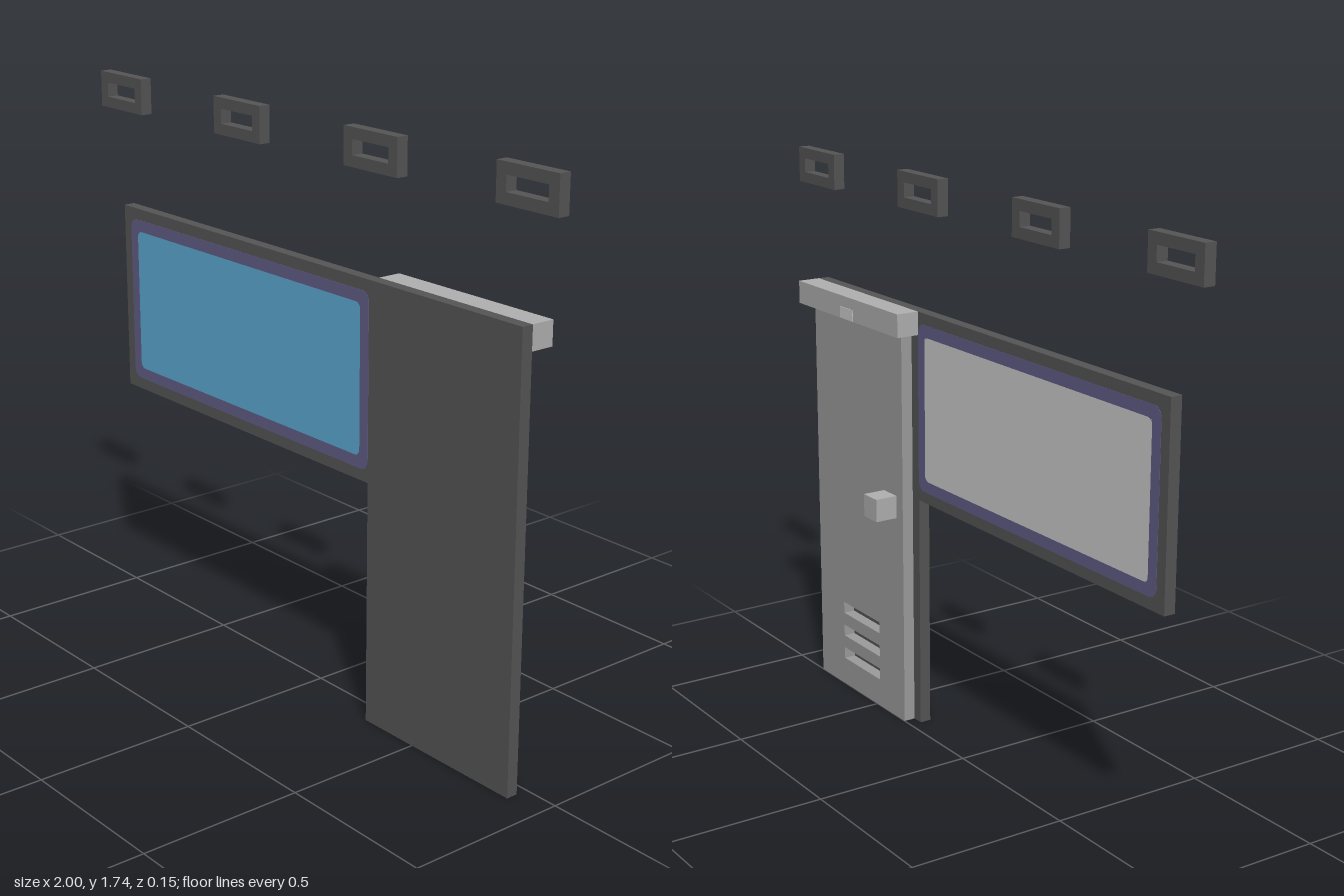
import * as THREE from 'three';

const mat = (name, color, side = THREE.FrontSide) => {
  const m = new THREE.MeshStandardMaterial({ color, side });
  m.name = name;
  return m;
};

// Outline of a rectangle, with optional rounded corners
function rect(Target, x0, y0, x1, y1, r = 0) {
  const p = new Target();
  if (!r) {
    p.moveTo(x0, y0).lineTo(x1, y0).lineTo(x1, y1).lineTo(x0, y1).closePath();
    return p;
  }
  p.moveTo(x0 + r, y0).lineTo(x1 - r, y0);
  p.absarc(x1 - r, y0 + r, r, -Math.PI / 2, 0);
  p.lineTo(x1, y1 - r).absarc(x1 - r, y1 - r, r, 0, Math.PI / 2);
  p.lineTo(x0 + r, y1).absarc(x0 + r, y1 - r, r, Math.PI / 2, Math.PI);
  p.lineTo(x0, y0 + r).absarc(x0 + r, y0 + r, r, Math.PI, Math.PI * 1.5);
  return p;
}

export function createModel() {
  const dark = mat('dark grey', 0x555555);
  const doorGrey = mat('door grey', 0x9c9c9c);
  const trimGrey = mat('trim grey', 0xb0b0b0);
  const lightGrey = mat('light grey', 0xcccccc);
  const purple = mat('purple seal', 0x625e88);
  const blue = mat('blue glass', 0x5caad4);

  const group = new THREE.Group();
  const add = (name, geometry, material) => {
    const mesh = new THREE.Mesh(geometry, material);
    mesh.name = name;
    group.add(mesh);
    return mesh;
  };
  const extrude = (name, shape, z0, z1, material) => {
    const g = new THREE.ExtrudeGeometry(shape, { depth: z1 - z0, bevelEnabled: false, curveSegments: 5 });
    return add(name, g.translate(0, 0, z0), material);
  };
  const box = (name, x0, y0, z0, x1, y1, z1, material) => {
    const g = new THREE.BoxGeometry(x1 - x0, y1 - y0, z1 - z0);
    return add(name, g.translate((x0 + x1) / 2, (y0 + y1) / 2, (z0 + z1) / 2), material);
  };

  const BACK = 0.037, FRONT = 0.073;

  // Outer panels: window surround and tall door backing
  const surround = rect(THREE.Shape, -0.89, 0.743, 0.297, 1.335);
  surround.holes.push(rect(THREE.Path, -0.855, 0.778, 0.262, 1.3, 0.03));
  extrude('windowSurround', surround, BACK, FRONT, dark);
  box('doorBacking', 0.297, 0, BACK, 0.89, 1.335, FRONT, dark);

  // Window seal, just proud of the surround on both sides
  const seal = rect(THREE.Shape, -0.855, 0.778, 0.297, 1.3, 0.03);
  seal.holes.push(rect(THREE.Path, -0.819, 0.814, 0.261, 1.263, 0.02));
  extrude('windowSeal', seal, BACK - 0.001, FRONT + 0.001, purple);

  // Blue pane outside, light pane inside
  extrude('windowGlass', rect(THREE.Shape, -0.819, 0.814, 0.261, 1.263, 0.02), FRONT - 0.007, FRONT + 0.001, blue);
  extrude('innerPane', rect(THREE.Shape, -0.819, 0.814, 0.261, 1.263, 0.01), BACK - 0.001, BACK + 0.007, lightGrey);

  // Inner door leaf with three vent slots
  const leaf = rect(THREE.Shape, 0.334, 0, 0.852, 1.27);
  for (const y of [0.11, 0.19, 0.27]) {
    leaf.holes.push(rect(THREE.Path, 0.482, y - 0.019, 0.704, y + 0.019));
  }
  extrude('doorLeaf', leaf, 0, BACK, doorGrey);

  // Header box with indicator plate, and square handle
  box('doorHeader', 0.297, 1.263, -0.036, 0.89, 1.335, BACK, trimGrey);
  box('headerIndicator', 0.556, 1.264, -0.038, 0.63, 1.3, -0.035, lightGrey);
  box('doorHandle', 0.37, 0.672, -0.073, 0.443, 0.744, 0, trimGrey);

  // Row of slotted vents above
  for (let i = 0; i < 4; i++) {
    const x = -0.89 + i * 0.5933;
    const frame = rect(THREE.Shape, x - 0.11, 1.634, x + 0.11, 1.744);
    frame.holes.push(rect(THREE.Path, x - 0.074, 1.667, x + 0.074, 1.711));
    extrude('roofVent' + (i + 1), frame, BACK, FRONT, dark);
  }

  return group;
}
